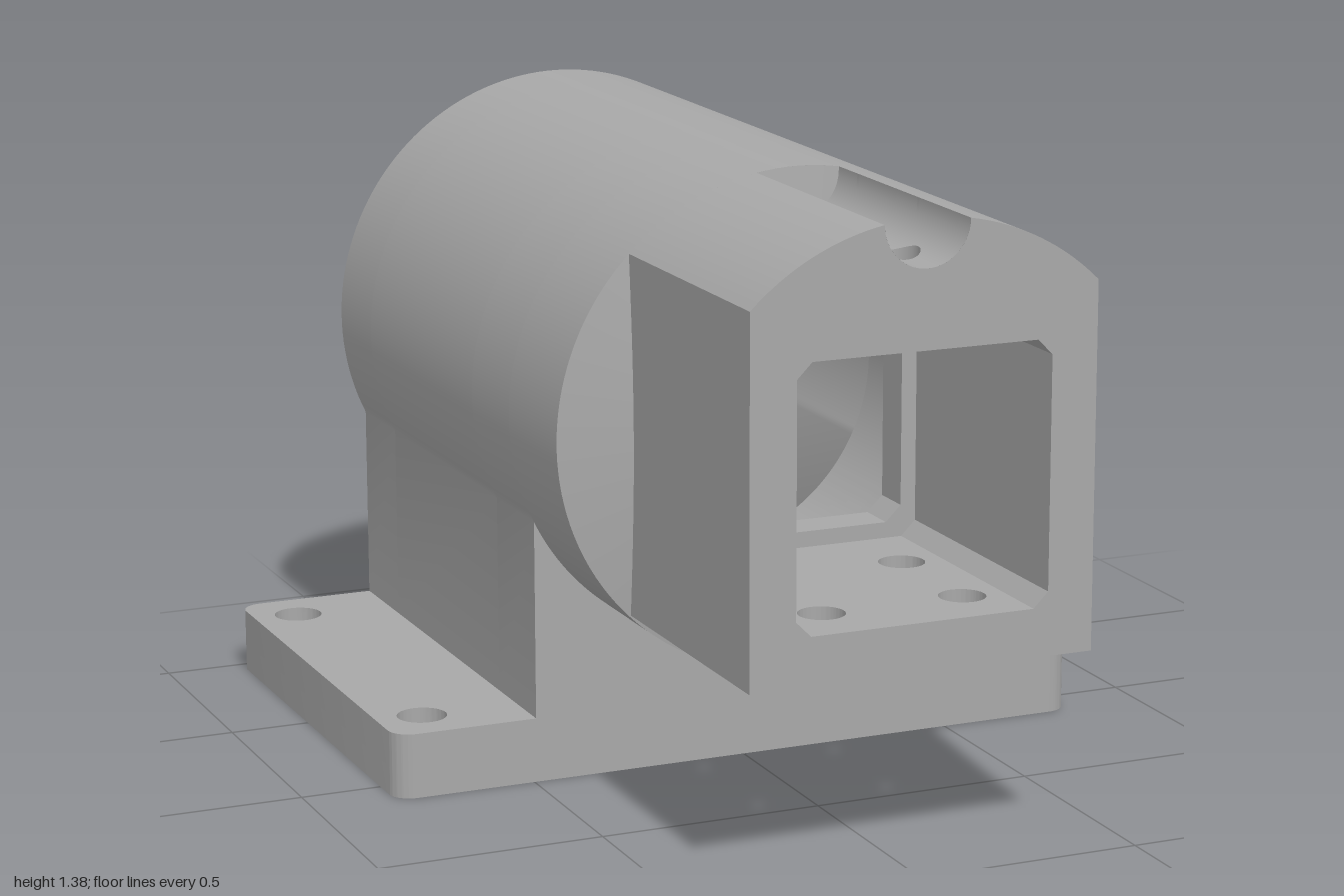
import * as THREE from 'three';
import { toCreasedNormals } from 'three/addons/utils/BufferGeometryUtils.js';
import { ParametricGeometry } from 'three/addons/geometries/ParametricGeometry.js';

const CY = 0.828;                       // height of the tube axis
const R = 0.55, BORE = 0.47, STEP = 0.41; // tube radii
const BODY = 0.495, CAV = 0.42, PLATE = 0.145;
const Z0 = -1, CAV0 = -0.79, CAV1 = -0.12, BODY_END = 0.105, TUBE_END = 0.383;
const GR = 0.095, GY = CY + Math.sqrt(R * R - GR * GR); // roof groove
const ROOF = 1.108, FLOOR = 0.545, BASE = 0.44;
const PIN_R = 0.05, PIN_Z = [0.57, 0.855];
const A = Math.acos(BODY / R), B = Math.acos(CAV / BORE); // where the walls meet the circles

const circle = (x, y, r) => new THREE.Path().absarc(x, y, r, 0, Math.PI * 2, false);

// Full circle on the tube axis, split where the walls meet it so that seams match
const splitCircle = (path, r, a) => path
  .absarc(0, CY, r, -a, Math.PI + a, false)
  .absarc(0, CY, r, Math.PI + a, Math.PI * 2 - a, false);

// Square outline with cut corners
function cutSquare(h, c, y) {
  const p = [];
  for (const [sx, sy, swap] of [[1, 1, 0], [-1, 1, 1], [-1, -1, 0], [1, -1, 1]]) {
    const a = [sx * h, y + sy * (h - c)], b = [sx * (h - c), y + sy * h];
    p.push(...(swap ? [b, a] : [a, b]));
  }
  return new THREE.Path(p.map(q => new THREE.Vector2(...q)));
}

export function createModel() {
  const group = new THREE.Group();
  const grey = new THREE.MeshStandardMaterial({ color: 0xa8a8a8, side: THREE.DoubleSide });
  grey.name = 'machined grey';

  const add = (name, geo) => {
    const mesh = new THREE.Mesh(geo, grey);
    mesh.name = name;
    group.add(mesh);
  };
  const extrude = (shape, depth) => toCreasedNormals(
    new THREE.ExtrudeGeometry(shape, { depth, bevelEnabled: false, curveSegments: 48 }), 0.6);
  const alongZ = (name, shape, z0, z1) => add(name, extrude(shape, z1 - z0).translate(0, 0, z0));
  // Plan shape drawn as (x, -z), extruded upwards
  const alongY = (name, shape, y0, y1, z) =>
    add(name, extrude(shape, y1 - y0).rotateX(-Math.PI / 2).translate(0, y0, z));

  // Tube merged with its pedestal; without a bore it is open to the cavity below
  const bodyShape = bore => {
    const s = new THREE.Shape();
    s.moveTo(BODY, PLATE);
    s.lineTo(BODY, CY - R * Math.sin(A));
    s.absarc(0, CY, R, -A, Math.PI + A, false);
    s.lineTo(-BODY, PLATE);
    if (bore) s.holes.push(splitCircle(new THREE.Path(), bore, B));
    else {
      s.lineTo(-CAV, PLATE);
      s.absarc(0, CY, BORE, Math.PI + B, -B, true);
      s.lineTo(CAV, PLATE);
    }
    return s;
  };
  alongZ('bodyRear', bodyShape(BORE), Z0, CAV0);
  alongZ('bodyMiddle', bodyShape(0), CAV0, CAV1);
  alongZ('bodyShoulder', bodyShape(STEP), CAV1, BODY_END);

  // Free end of the tube, with its inner wall and slightly coned face
  const ring = splitCircle(new THREE.Shape(), R, A);
  ring.holes.push(splitCircle(new THREE.Path(), STEP, B));
  alongZ('tubeFront', ring, BODY_END, TUBE_END);
  const web = new THREE.Shape().absarc(0, CY, STEP + 0.01, 0, Math.PI * 2, false);
  web.holes.push(cutSquare(0.248, 0.035, CY));
  alongZ('innerWall', web, 0.29, TUBE_END - 0.001);
  add('tubeFace', new THREE.LatheGeometry(
    [new THREE.Vector2(R, 0), new THREE.Vector2(0.383, 0.022)], 96)
    .rotateX(Math.PI / 2).translate(0, CY, TUBE_END));

  // Mounting plate: rounded outline with four bolt holes
  const PX = 0.82, PZ = 0.5525, PC = -0.4475, BX = 0.715, BZ = 0.43, r = 0.05, RIM = 0.065;
  const plateShape = () => {
    const s = new THREE.Shape();
    s.absarc(PX - r, PZ - r, r, 0, Math.PI / 2, false);
    s.absarc(-PX + r, PZ - r, r, Math.PI / 2, Math.PI, false);
    s.absarc(-PX + r, -PZ + r, r, Math.PI, Math.PI * 1.5, false);
    s.absarc(PX - r, -PZ + r, r, Math.PI * 1.5, Math.PI * 2, false);
    for (const x of [-BX, BX]) for (const z of [-BZ, BZ]) s.holes.push(circle(x, z, 0.055));
    return s;
  };
  // Underside recess, scooped around each bolt boss
  const rim = plateShape(), recess = new THREE.Path(), q = Math.PI / 2;
  [[BX, BZ, 0], [-BX, BZ, 1], [-BX, -BZ, 2], [BX, -BZ, 3]].forEach(([x, z, k]) =>
    recess.absarc(x, z, 0.13, -q + k * q, -2 * q + k * q, true));
  recess.closePath();
  rim.holes.push(recess);
  alongY('plateRim', rim, 0, RIM, PC);
  const top = plateShape(), c0 = -CAV1 + PC, c1 = -CAV0 + PC;
  top.holes.push(new THREE.Path([[-CAV, c0], [CAV, c0], [CAV, c1], [-CAV, c1]]
    .map(p => new THREE.Vector2(...p))));
  alongY('plateTop', top, RIM, PLATE, PC);

  // Socket cheeks, one on each side
  const SX = 0.385, SZ = TUBE_END - 0.003;
  const a0 = Math.acos(SX / R), a1 = Math.acos(GR / R);
  for (const side of [1, -1]) {
    const pts = [[GR, ROOF], [0.25, ROOF], [0.283, ROOF - 0.033], [0.283, FLOOR + 0.033],
      [0.25, FLOOR], [0.25, BASE], [SX, BASE]];
    for (let i = 0; i <= 16; i++) {
      const a = a0 + (a1 - a0) * i / 16;
      pts.push([R * Math.cos(a), CY + R * Math.sin(a)]);
    }
    alongZ(side > 0 ? 'socketLeft' : 'socketRight',
      new THREE.Shape(pts.map(([x, y]) => new THREE.Vector2(side * x, y))), SZ, 1);
  }

  // Flat panel between the cheeks with round holes
  const panel = (w, xs) => {
    const s = new THREE.Shape([[-w, -1], [w, -1], [w, -SZ], [-w, -SZ]]
      .map(p => new THREE.Vector2(...p)));
    for (const x of xs) for (const z of PIN_Z) s.holes.push(circle(x, -z, PIN_R));
    return s;
  };
  alongY('socketFloor', panel(0.25, [-0.16, 0.16]), BASE, FLOOR, 0);
  alongY('socketCeiling', panel(GR, [0]), ROOF, ROOF + 0.01, 0);

  // Rounded groove along the roof
  const grooveY = x => GY - Math.sqrt(Math.max(0, GR * GR - x * x));
  const across = t => GR * Math.sin(t * Math.PI / 2);
  const strip = (z0, z1) => add('groove', new ParametricGeometry((u, v, t) => {
    const x = across(Math.tan((u - 0.5) * Math.PI / 2));
    t.set(x, grooveY(x), z0 + (z1 - z0) * v);
  }, 24, 1));
  let z = SZ;
  for (const pz of PIN_Z) {
    strip(z, pz - GR);
    z = pz + GR;
    // Groove patch around a pin hole, and the wall of that hole
    add('groovePatch', new ParametricGeometry((u, v, t) => {
      const a = u * Math.PI * 2, c = Math.cos(a), s = Math.sin(a);
      const m = Math.max(Math.abs(c), Math.abs(s));
      const x = THREE.MathUtils.lerp(PIN_R * c, across(c / m), v);
      t.set(x, grooveY(x), pz + THREE.MathUtils.lerp(PIN_R * s, GR * s / m, v));
    }, 96, 12));
    add('pinHole', new ParametricGeometry((u, v, t) => {
      const a = u * Math.PI * 2, x = PIN_R * Math.cos(a);
      t.set(x, ROOF + (grooveY(x) - ROOF) * v, pz + PIN_R * Math.sin(a));
    }, 96, 1));
  }
  strip(z, 1);

  // End face of the roof below the groove
  const end = new THREE.Shape();
  end.moveTo(-GR, ROOF);
  end.lineTo(GR, ROOF);
  end.absarc(0, GY, GR, 0, -Math.PI, true);
  add('grooveEnd', new THREE.ShapeGeometry(end, 24).translate(0, 0, 1));

  return group;
}
